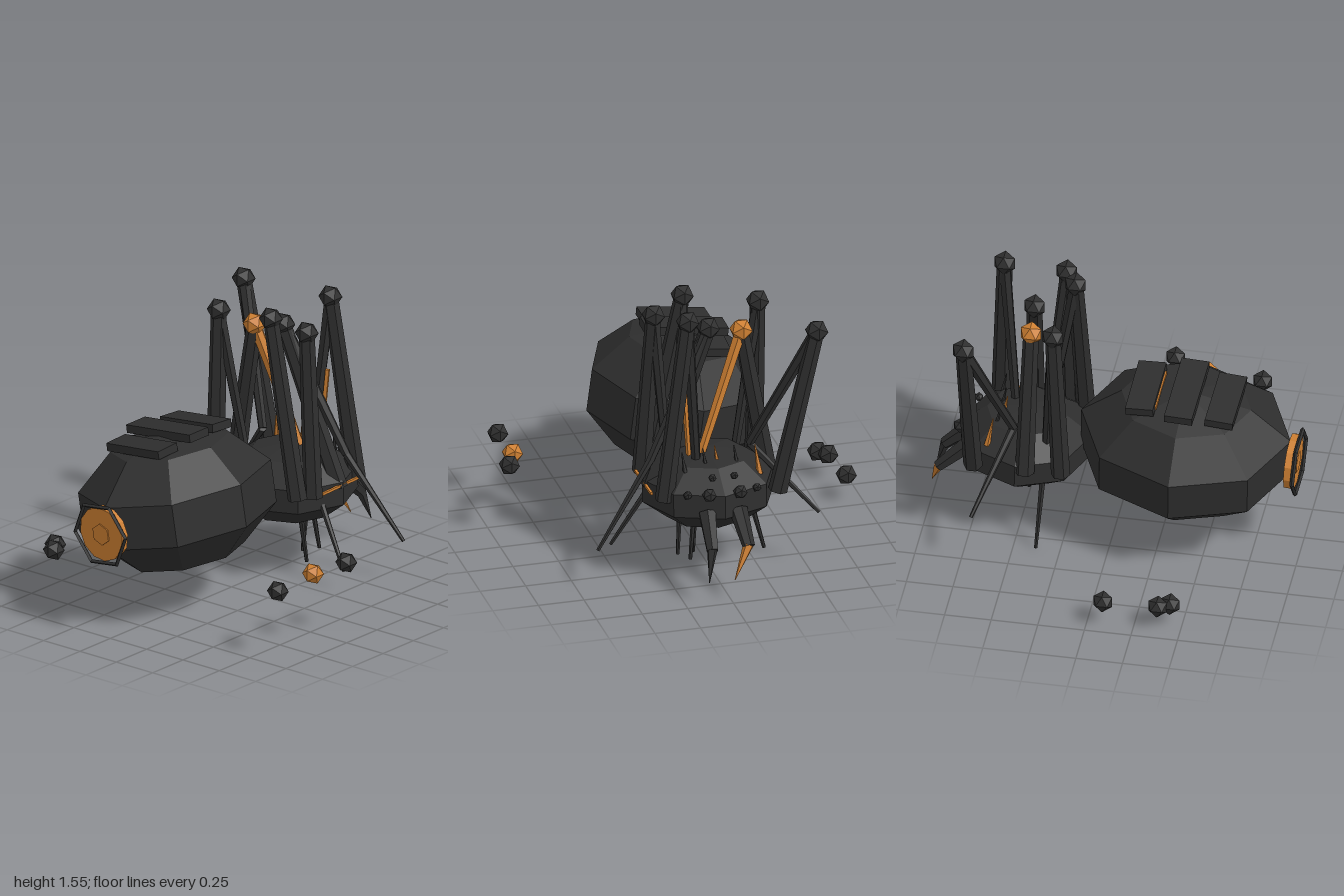
import * as THREE from 'three';

const dark = new THREE.MeshStandardMaterial({ color: 0x2e2e2e, flatShading: true });
dark.name = 'charcoal';
const copper = new THREE.MeshStandardMaterial({ color: 0xcd7f32, flatShading: true });
copper.name = 'copper';

const V = (p) => new THREE.Vector3(...p);

function add(parent, name, geometry, material, position = [0, 0, 0], rotation = [0, 0, 0]) {
  const mesh = new THREE.Mesh(geometry, material);
  mesh.name = name;
  mesh.position.set(...position);
  mesh.rotation.set(...rotation);
  parent.add(mesh);
  return mesh;
}

// Tapered rod running from point a to point b
function rod(parent, name, a, b, ra, rb, material = dark, sides = 6) {
  const from = V(a), to = V(b), dir = to.clone().sub(from);
  const geometry = new THREE.CylinderGeometry(rb, ra, dir.length(), sides);
  const mesh = add(parent, name, geometry, material);
  mesh.position.copy(from).add(to).multiplyScalar(0.5);
  mesh.quaternion.setFromUnitVectors(new THREE.Vector3(0, 1, 0), dir.normalize());
  return mesh;
}

function ball(parent, name, position, radius, material = dark) {
  return add(parent, name, new THREE.IcosahedronGeometry(radius, 0), material, position);
}

// Faceted ellipsoid whose widest ring has the given half width and half depth
function shell(parent, name, center, halfWidth, halfHeight, halfDepth, rotation) {
  const k = Math.sin(Math.PI * 0.4);
  const geometry = new THREE.SphereGeometry(1, 8, 5).scale(halfWidth / k, halfHeight, halfDepth / k);
  return add(parent, name, geometry, dark, center, rotation);
}

function buildAbdomen(root) {
  const abdomen = new THREE.Group();
  abdomen.name = 'abdomen';
  root.add(abdomen);
  shell(abdomen, 'abdomenShell', [-0.06, 0.61, 0.375], 0.47, 0.38, 0.565, [0.04, -0.02, 0.14]);

  // Armour plates across the back
  const plates = [
    [0.37, [-0.105, 0.965, 0.17], -0.06],
    [0.45, [-0.115, 0.98, 0.39], 0.02],
    [0.37, [-0.115, 0.945, 0.6], 0.06],
  ];
  for (const [width, position, pitch] of plates) {
    add(abdomen, 'backPlate', new THREE.BoxGeometry(width, 0.045, 0.15), dark, position, [pitch, -0.03, 0.12]);
  }
  add(abdomen, 'plateTrim', new THREE.BoxGeometry(0.28, 0.02, 0.012), copper, [-0.105, 0.962, 0.247], [0, -0.03, 0.12]);

  // Round vent with its hexagonal guard ring
  const vent = new THREE.Group();
  vent.name = 'vent';
  vent.position.set(-0.08, 0.57, 0.955);
  vent.rotation.set(0.04, -0.03, 0.14);
  abdomen.add(vent);
  add(vent, 'ventDisc', new THREE.CylinderGeometry(0.15, 0.15, 0.045, 12), copper, [0, 0, 0], [Math.PI / 2, 0, 0]);
  add(vent, 'ventHub', new THREE.CylinderGeometry(0.06, 0.06, 0.008, 6), copper, [0, 0, 0.025], [Math.PI / 2, 0, 0]);
  add(vent, 'guardRing', new THREE.TorusGeometry(0.18, 0.012, 4, 6), dark, [0, 0, 0.03]);
}

function buildHead(root) {
  const head = new THREE.Group();
  head.name = 'head';
  root.add(head);
  shell(head, 'headShell', [0, 0.48, -0.49], 0.36, 0.21, 0.35, [0.03, 0, 0]);

  // Eyes and bristles
  for (const side of [-1, 1]) {
    ball(head, 'mainEye', [side * 0.085, 0.57, -0.83], 0.04);
    ball(head, 'sideEye', [side * 0.19, 0.56, -0.78], 0.025);
    ball(head, 'upperEye', [side * 0.06, 0.655, -0.8], 0.023);
  }
  const bristles = [[-0.24, -0.66, copper], [-0.13, -0.64, dark], [-0.03, -0.62, copper], [0.04, -0.64, dark], [0.16, -0.66, dark]];
  for (const [x, z, material] of bristles) {
    rod(head, 'bristle', [x, 0.58, z], [x + 0.02, 0.74, z + 0.03], 0.018, 0.003, material, 5);
  }

  // Jaws with fangs
  for (const [side, material] of [[-1, copper], [1, dark]]) {
    const tip = [side < 0 ? -0.01 : 0.13, 0.14, -0.995];
    rod(head, 'jaw', [side * 0.085, 0.45, -0.79], [side * 0.1, 0.3, -0.945], 0.05, 0.033);
    rod(head, 'fang', [side * 0.1, 0.31, -0.94], tip, 0.03, 0.002, material, 5);
  }

  // Exposed cable along the flank
  add(head, 'flankCable', new THREE.BoxGeometry(0.014, 0.014, 0.32), copper, [0.35, 0.525, -0.485], [0.03, 0, 0]);
}

// Each leg: hip, knee, ankle, foot
const legs = [
  [[-0.32, 0.5, -0.72], [-0.53, 1.41, -0.735], [-0.22, 0.7, -0.52], [-0.555, 0.33, -0.69]],
  [[-0.34, 0.5, -0.44], [-0.2, 1.32, -0.43], [0.06, 0.62, -0.52], [0.12, 0.09, -0.58]],
  [[-0.32, 0.5, -0.25], [-0.33, 1.41, -0.29], [-0.19, 0.6, -0.35], [-0.34, 0.01, -0.38]],
  [[0.29, 0.5, -0.68], [0.15, 1.5, -0.635], [0.08, 0.62, -0.56], [0.08, 0.09, -0.49]],
  [[0.32, 0.5, -0.5], [-0.015, 1.36, -0.445], [0.33, 0.68, -0.55], [0.645, 0.235, -0.645]],
  [[0.31, 0.5, -0.3], [0.25, 1.41, -0.32], [0.2, 0.6, -0.41], [0.49, 0.115, -0.34]],
  [[0.27, 0.5, -0.22], [0.07, 1.47, -0.24], [0.11, 0.62, -0.38], [0.15, 0.06, -0.44]],
];

function buildLegs(root) {
  legs.forEach(([hip, knee, ankle, foot], i) => {
    const leg = new THREE.Group();
    leg.name = 'leg' + (i + 1);
    root.add(leg);
    const accent = i === 1 ? copper : dark;
    rod(leg, 'upperLeg', hip, knee, 0.052, 0.042);
    ball(leg, 'knee', knee, 0.064, accent);
    rod(leg, 'lowerLeg', knee, ankle, 0.034, 0.024, accent);
    rod(leg, 'foot', ankle, foot, 0.022, 0.01);
  });
  // Cable beside the tall front leg
  rod(root, 'legCable', [0.16, 1.1, -0.6], [0.13, 0.7, -0.58], 0.014, 0.014, copper, 4);
}

// Loose orbs floating around the body
function buildOrbs(root) {
  const orbs = [
    [-0.92, 0.15, 0.085], [-0.9, 0.14, 0.375], [-0.86, 0.135, 0.435],
    [0.91, 0.41, 0.145], [0.84, 0.385, 0.335], [0.84, 0.37, 0.625],
  ];
  orbs.forEach((p, i) => ball(root, 'orb', p, 0.058, i === 4 ? copper : dark));
}

export function createModel() {
  const root = new THREE.Group();
  root.name = 'mechanicalSpider';
  buildAbdomen(root);
  buildHead(root);
  buildLegs(root);
  buildOrbs(root);
  return root;
}
